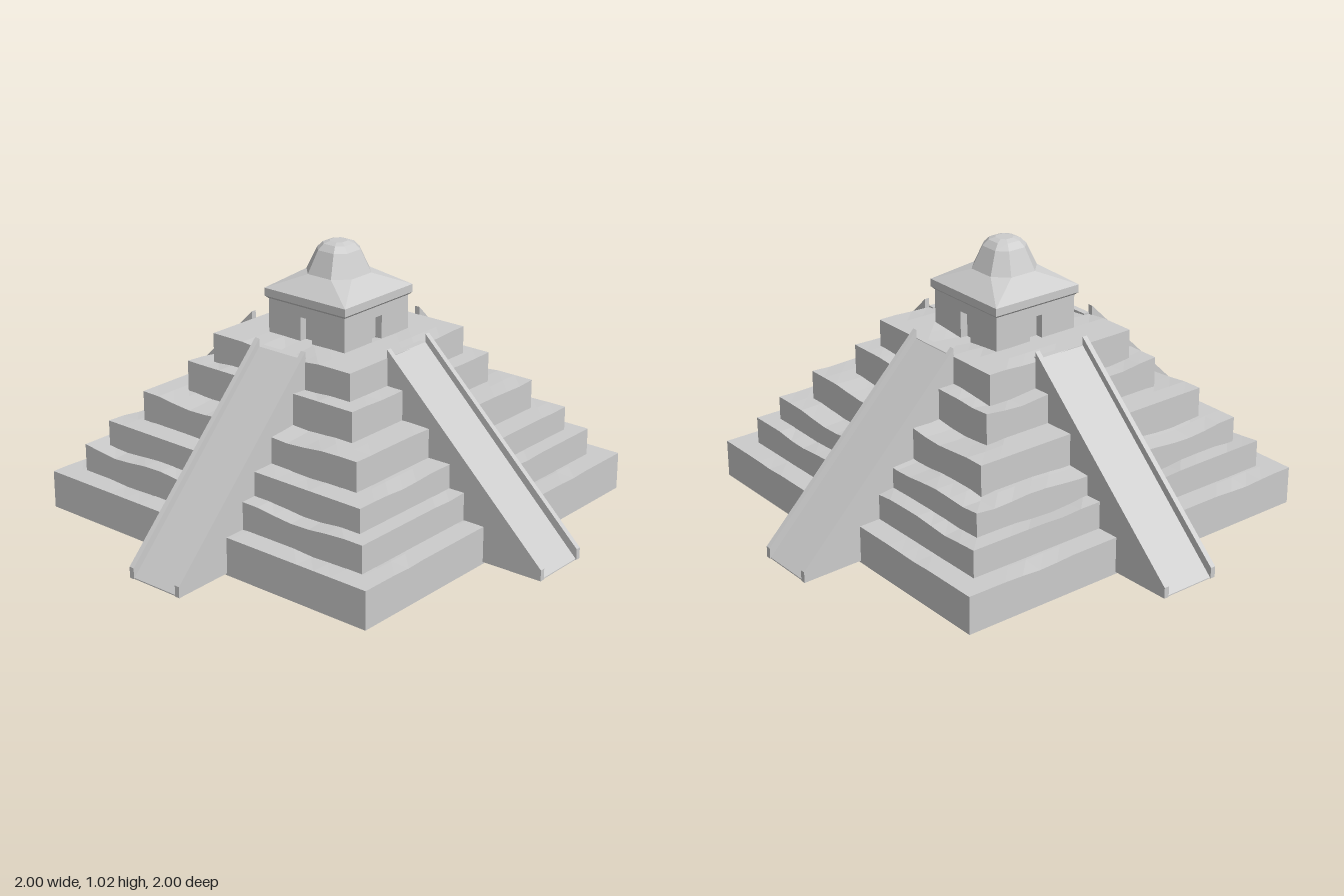
import * as THREE from 'three';

const mat = new THREE.MeshStandardMaterial({ color: 0xcccccc, flatShading: true });

function add(parent, name, geo, x = 0, y = 0, z = 0) {
  const m = new THREE.Mesh(geo, mat);
  m.name = name;
  m.position.set(x, y, z);
  parent.add(m);
  return m;
}

// Stone block whose top surface is worn down in shallow dips
function wornTier(half, y0, y1, seed) {
  const n = Math.round(half * 26);
  const h = y1 - y0;
  const geo = new THREE.BoxGeometry(half * 2, h, half * 2, n, 1, n).translate(0, h / 2, 0);
  const p = geo.attributes.position;
  for (let i = 0; i < p.count; i++) {
    if (p.getY(i) < h / 2) continue;
    const x = p.getX(i), z = p.getZ(i);
    const wave = Math.sin(x * 13 + seed * 2.1) * 0.6 + Math.sin(z * 14 + seed * 1.3) * 0.6;
    const corner = Math.min(1, (2 * half - Math.abs(x) - Math.abs(z)) * 8);
    p.setY(i, h - 0.014 * Math.max(0, wave) * corner);
  }
  geo.computeVertexNormals();
  return geo;
}

// Sloped prism running outward along +z, leaning slightly sideways
function rampPrism(x0, x1, profile) {
  const shape = new THREE.Shape(profile.map(([r, y]) => new THREE.Vector2(r, y)));
  const geo = new THREE.ExtrudeGeometry(shape, { depth: x1 - x0, bevelEnabled: false });
  geo.rotateY(-Math.PI / 2).translate(x1, 0, 0);
  const p = geo.attributes.position;
  for (let i = 0; i < p.count; i++) p.setX(i, p.getX(i) + 0.027 * (p.getZ(i) - 0.33));
  geo.computeVertexNormals();
  return geo;
}

// Loft through chamfered-square rings: [y, half width, half length of flat side]
function loft(rings) {
  const pos = [], idx = [], N = 12;
  for (const [y, a, b] of rings) {
    for (let k = 0; k < 4; k++) {
      for (const t of [-b, 0, b]) {
        const c = [1, 0, -1, 0][k], s = [0, 1, 0, -1][k];
        pos.push(a * c - t * s, y, -(a * s + t * c));
      }
    }
  }
  for (let r = 0; r < rings.length - 1; r++) {
    for (let i = 0; i < N; i++) {
      const a = r * N + i, b = r * N + (i + 1) % N;
      idx.push(a, b, b + N, a, b + N, a + N);
    }
  }
  // Caps at both ends
  const top = (rings.length - 1) * N;
  for (let i = 1; i < N - 1; i++) idx.push(0, i + 1, i, top, top + i, top + i + 1);
  const geo = new THREE.BufferGeometry();
  geo.setAttribute('position', new THREE.Float32BufferAttribute(pos, 3));
  geo.setIndex(idx);
  geo.computeVertexNormals();
  return geo;
}

export function createModel() {
  const model = new THREE.Group();
  model.name = 'steppedPyramid';
  const core = new THREE.Group();
  core.name = 'pyramidCore';
  core.position.set(-0.003, 0, -0.003);
  model.add(core);

  // Stepped tiers
  const halves = [0.757, 0.67, 0.606, 0.513, 0.395, 0.327];
  const tops = [0, 0.145, 0.25, 0.342, 0.455, 0.57, 0.675];
  halves.forEach((half, i) => {
    const y0 = i ? tops[i] - 0.03 : 0;
    add(core, 'tier' + (i + 1), wornTier(half, y0, tops[i + 1], i + 1), 0, y0, 0);
  });

  // Four stairways, each a ramp between two raised rails
  const floor = [[0.3, 0.008], [0.997, 0.008], [0.997, 0.012], [0.325, 0.675], [0.3, 0.675]];
  const rail = [[0.325, 0.008], [1, 0.008], [1, 0.05], [0.325, 0.706]];
  for (let k = 0; k < 4; k++) {
    const stair = new THREE.Group();
    stair.name = 'stairway' + (k + 1);
    add(stair, 'ramp', rampPrism(-0.102, 0.102, floor));
    add(stair, 'rail', rampPrism(-0.12, -0.1, rail));
    add(stair, 'rail', rampPrism(0.1, 0.12, rail));
    stair.rotation.y = k * Math.PI / 2;
    stair.position.set(-0.003, 0, -0.003);
    model.add(stair);
  }

  // Temple walls: a plan with a doorway notch in every side
  const temple = new THREE.Group();
  temple.name = 'temple';
  temple.position.set(-0.004, 0, -0.004);
  model.add(temple);
  const w = 0.181, d = 0.028, notch = 0.03;
  const plan = new THREE.Shape();
  const pts = [];
  for (let k = 0; k < 4; k++) {
    const c = [1, 0, -1, 0][k], s = [0, 1, 0, -1][k];
    for (const [a, t] of [[w, -w], [w, -d], [w - notch, -d], [w - notch, d], [w, d]]) {
      pts.push(new THREE.Vector2(a * c - t * s, a * s + t * c));
    }
  }
  plan.setFromPoints(pts);
  const walls = new THREE.ExtrudeGeometry(plan, { depth: 0.105, bevelEnabled: false });
  add(temple, 'walls', walls.rotateX(-Math.PI / 2), 0, 0.66, 0);
  add(temple, 'lintel', new THREE.BoxGeometry(w * 2, 0.05, w * 2), 0, 0.79, 0);

  // Eaves slab, sloping roof and domed crown
  add(temple, 'roof', loft([
    [0.806, 0.183, 0.183], [0.815, 0.192, 0.192], [0.845, 0.192, 0.192],
    [0.905, 0.108, 0.055],
  ]));
  add(temple, 'crown', loft([
    [0.9, 0.108, 0.055], [0.905, 0.108, 0.055], [0.99, 0.072, 0.037],
    [1.012, 0.052, 0.027], [1.02, 0.03, 0.015],
  ]));
  return model;
}
